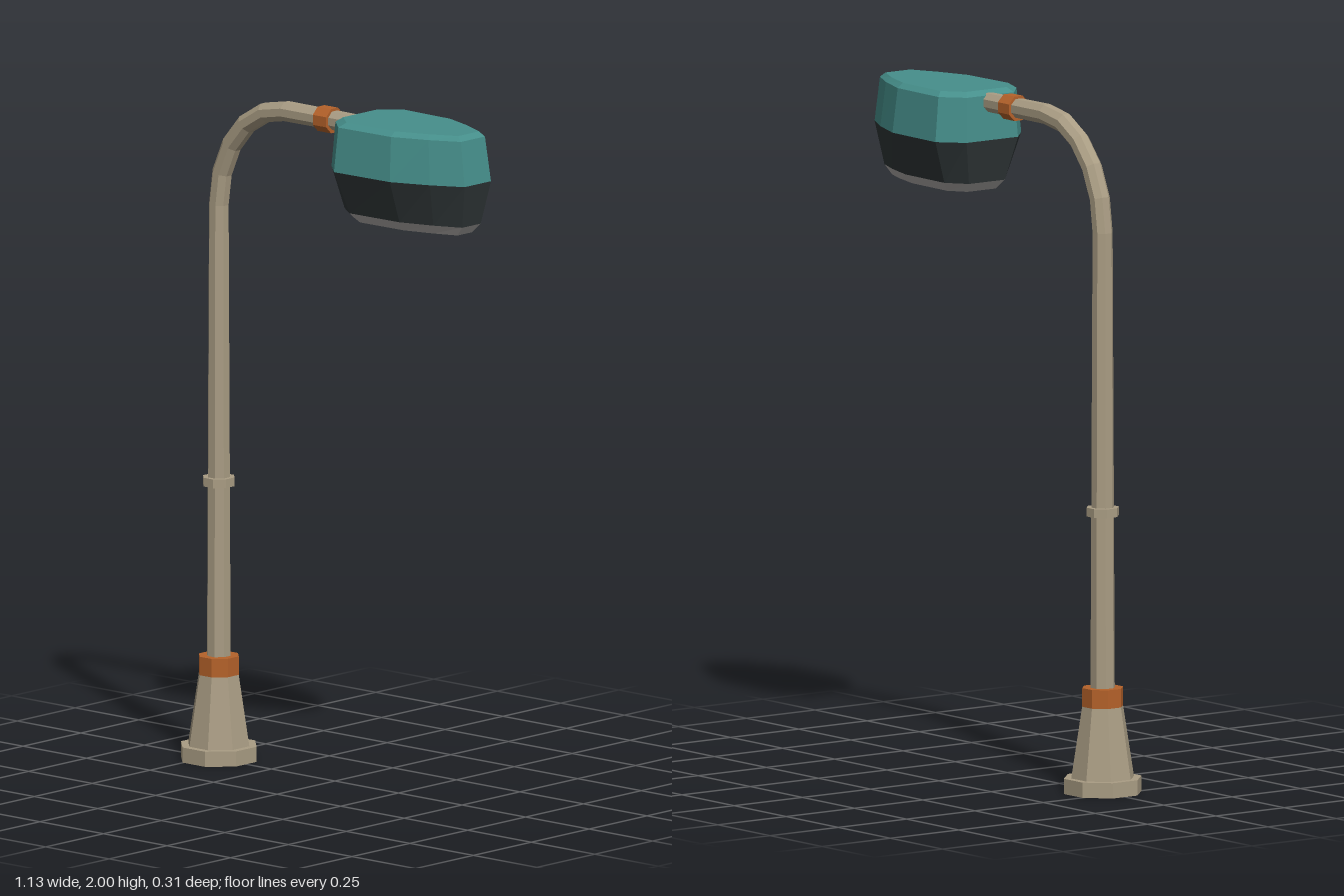
import * as THREE from 'three';

const mat = (name, color) => {
  const m = new THREE.MeshStandardMaterial({ color });
  m.name = name;
  return m;
};

// Faceted skin through a list of closed rings, with optional end caps
function loft(rings, capStart, capEnd) {
  const pos = [];
  const tri = (a, b, c) => [a, b, c].forEach((p) => pos.push(p.x, p.y, p.z));
  const n = rings[0].length;
  for (let i = 0; i < rings.length - 1; i++) {
    for (let j = 0; j < n; j++) {
      const k = (j + 1) % n;
      const [a, b, c, d] = [rings[i][j], rings[i][k], rings[i + 1][k], rings[i + 1][j]];
      tri(a, b, c);
      tri(a, c, d);
    }
  }
  const first = rings[0], last = rings[rings.length - 1];
  for (let j = 1; j < n - 1; j++) {
    if (capStart) tri(first[0], first[j + 1], first[j]);
    if (capEnd) tri(last[0], last[j], last[j + 1]);
  }
  const g = new THREE.BufferGeometry();
  g.setAttribute('position', new THREE.Float32BufferAttribute(pos, 3));
  g.computeVertexNormals();
  return g;
}

// Octagonal drum sized by the distance from its axis to its flats
function drum(bottom, top, height) {
  const k = Math.cos(Math.PI / 8);
  return new THREE.CylinderGeometry(top / k, bottom / k, height, 8)
    .rotateY(Math.PI / 8)
    .toNonIndexed();
}

// Octagon across the path at (x, y), where a is the path's angle from vertical
function pipeRing(x, y, a, flat) {
  const r = flat / Math.cos(Math.PI / 8);
  return Array.from({ length: 8 }, (_, j) => {
    const t = ((j + 0.5) * Math.PI) / 4;
    const u = r * Math.cos(t);
    return new THREE.Vector3(x + u * Math.cos(a), y - u * Math.sin(a), -r * Math.sin(t));
  });
}

// Plan of the lamp head at its widest, one side from the tip to the neck
const HALF_PLAN = [[0.562, 0.057], [0.47, 0.106], [0.353, 0.151], [0.139, 0.157], [0.072, 0.094]];

// Plan fitted between x0 and x1 at height y, with its width scaled
function headRing(y, x0, x1, width) {
  const fit = (x) => x0 + ((x - 0.072) / 0.49) * (x1 - x0);
  const far = HALF_PLAN.map(([x, z]) => new THREE.Vector3(fit(x), y, -z * width));
  const near = HALF_PLAN.map(([x, z]) => new THREE.Vector3(fit(x), y, z * width)).reverse();
  return [...far, ...near];
}

export function createModel() {
  const metal = mat('beige metal', 0xaa9d84);
  const copper = mat('copper', 0xb5622a);
  const teal = mat('teal', 0x468f8b);
  const dark = mat('dark grey', 0x2e3536);
  const lensGrey = mat('lens grey', 0xaeaaa8);
  for (const m of [metal, copper, teal, dark, lensGrey]) m.flatShading = true;

  const model = new THREE.Group();
  model.name = 'streetLamp';
  const add = (name, geometry, material, x = 0, y = 0) => {
    const mesh = new THREE.Mesh(geometry, material);
    mesh.name = name;
    mesh.position.set(x, y, 0);
    model.add(mesh);
    return mesh;
  };
  const poleX = -0.457;

  // Foot and collars stacked on the pole
  add('footPlate', drum(0.108, 0.108, 0.045), metal, poleX, 0.0225);
  add('foot', drum(0.088, 0.057, 0.215), metal, poleX, 0.1475);
  add('footCollar', drum(0.057, 0.057, 0.055), copper, poleX, 0.2825);
  add('poleRing', drum(0.045, 0.045, 0.026), metal, poleX, 0.828);

  // Tapered pole, elbow and arm in one sweep
  const bendX = 0.267, bendY = 0.315, steps = 5;
  const path = [pipeRing(poleX, 0.27, 0, 0.034)];
  for (let i = 0; i <= steps; i++) {
    const t = (i / steps) * (Math.PI / 2);
    const x = poleX + bendX * (1 - Math.cos(t));
    const y = 1.65 + bendY * Math.sin(t);
    path.push(pipeRing(x, y, Math.atan2(bendX * Math.sin(t), bendY * Math.cos(t)), 0.028));
  }
  path.push(pipeRing(0.11, 1.965, Math.PI / 2, 0.027));
  add('poleAndArm', loft(path, true, true), metal);

  // Collar on the arm
  add('armCollar', drum(0.036, 0.036, 0.053), copper, -0.028, 1.964).rotation.z = Math.PI / 2;

  // Lamp head: hood, lower housing and lens
  const middle = headRing(1.855, 0.072, 0.562, 1);
  const rim = headRing(1.728, 0.098, 0.537, 0.7);
  add('hood', loft([middle, headRing(1.986, 0.08, 0.543, 0.91), headRing(2, 0.1, 0.526, 0.79)], false, true), teal);
  add('housing', loft([rim, middle], false, false), dark);
  add('lens', loft([headRing(1.7, 0.124, 0.511, 0.55), rim], true, false), lensGrey);

  return model;
}
